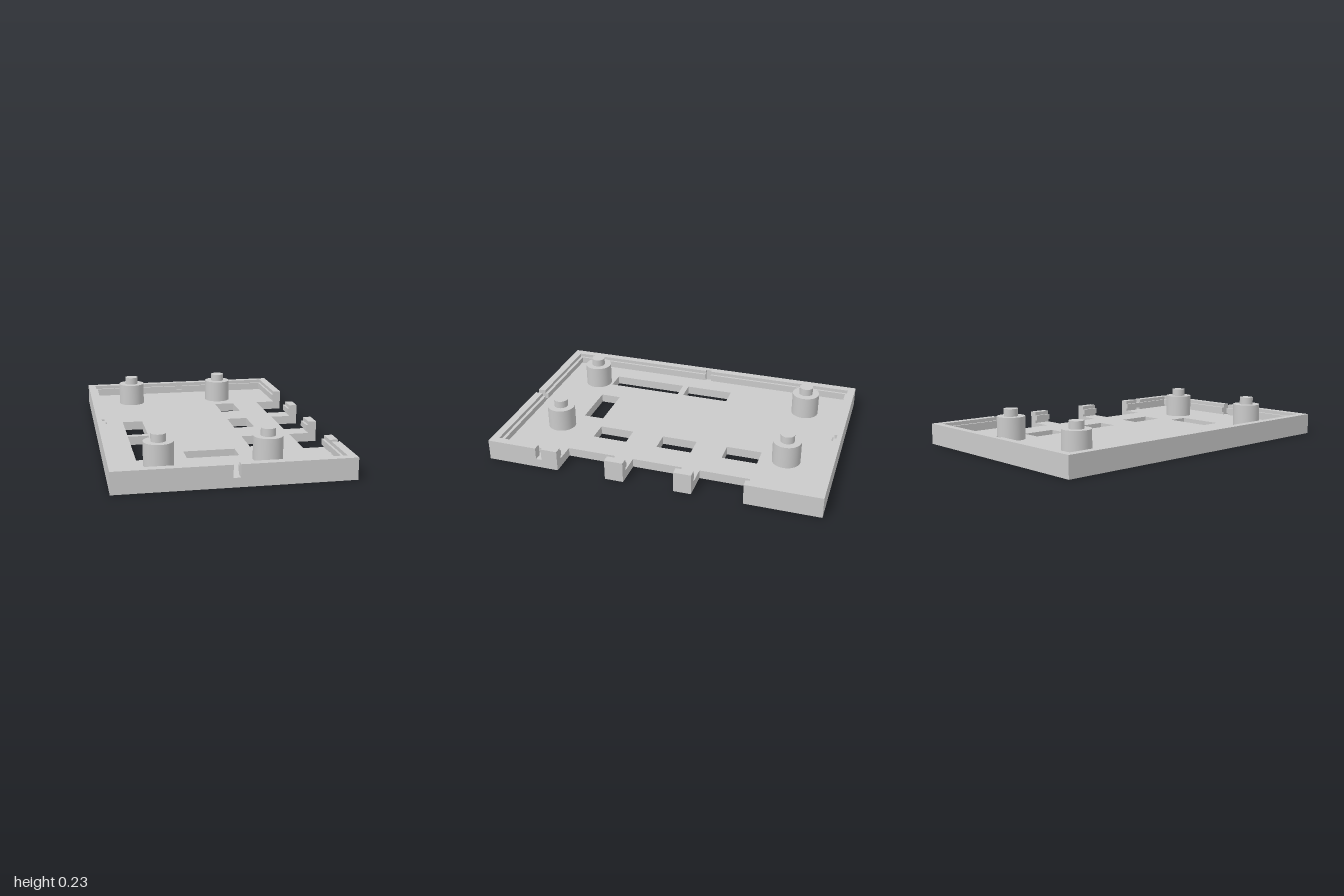
import * as THREE from 'three';

const FLOOR = 0.053, TOP = 0.125;
const rect = (x0, x1, z0, z1) => [[x0, z0], [x1, z0], [x1, z1], [x0, z1]];
const toVectors = (points) => points.map(([x, z]) => new THREE.Vector2(x, -z));

export function createModel() {
  const group = new THREE.Group();
  const grey = new THREE.MeshStandardMaterial({ color: 0xcacaca });
  grey.name = 'plain grey';

  // Extrudes an x/z outline upward from y0 to y1
  function slab(name, points, y0, y1, holes = []) {
    const outline = toVectors(points);
    // A counter-clockwise outline lets the extrusion turn the hole walls the right way
    if (THREE.ShapeUtils.isClockWise(outline)) outline.reverse();
    const shape = new THREE.Shape(outline);
    shape.holes = holes.map((h) => new THREE.Path(toVectors(h)));
    const geometry = new THREE.ExtrudeGeometry(shape, { depth: y1 - y0, bevelEnabled: false });
    geometry.rotateX(-Math.PI / 2).translate(0, y0, 0);
    const mesh = new THREE.Mesh(geometry, grey);
    mesh.name = name;
    group.add(mesh);
  }

  // Floor with three port notches in its left edge and six windows
  const notches = [[-0.558, -0.258], [-0.153, 0.15], [0.262, 0.56]];
  const outline = [[-0.66, 1], [-0.66, -1], [0.66, -1]];
  for (const [a, b] of notches) outline.push([0.66, a], [0.49, a], [0.49, b], [0.66, b]);
  outline.push([0.66, 1]);
  slab('floor', outline, 0, FLOOR, [
    rect(0.193, 0.32, -0.558, -0.345),
    rect(0.193, 0.32, -0.153, 0.062),
    rect(0.193, 0.32, 0.258, 0.47),
    rect(-0.485, -0.36, -0.193, 0.105),
    rect(-0.485, -0.36, 0.144, 0.615),
    rect(-0.203, 0.095, 0.5, 0.625),
  ]);

  // Long rim: front half, side and back, with two blind slots on the inside
  slab('mainWall', [
    [-0.02, 1], [-0.66, 1], [-0.66, -1], [0.66, -1], [0.66, -0.558], [0.612, -0.558],
    [0.612, -0.955], [0.02, -0.955], [0.02, -0.971], [-0.02, -0.971], [-0.02, -0.955],
    [-0.612, -0.955], [-0.612, -0.018], [-0.63, -0.018], [-0.63, 0.018], [-0.612, 0.018],
    [-0.612, 0.953], [-0.02, 0.953],
  ], FLOOR, TOP);
  // Raised bottom of the back slot
  slab('slotSill', rect(-0.02, 0.02, -0.971, -0.955), FLOOR, 0.074);
  // Front corner, ending at the two through slots
  slab('cornerWall', [
    [0.02, 1], [0.66, 1], [0.66, 0.695], [0.612, 0.695], [0.612, 0.953], [0.02, 0.953],
  ], FLOOR, TOP);
  // Short wall pieces between the notches
  for (const [a, b] of [[-0.258, -0.153], [0.15, 0.262], [0.56, 0.66]]) {
    slab('wallStub', rect(0.612, 0.66, a, b), FLOOR, TOP);
  }

  // Snap ridge running along the inside of the walls
  const ridges = [
    rect(-0.612, -0.598, -0.955, -0.018), rect(-0.612, -0.598, 0.018, 0.953),
    rect(-0.598, -0.02, -0.955, -0.94), rect(0.02, 0.598, -0.955, -0.94),
    rect(-0.598, -0.02, 0.934, 0.953), rect(0.02, 0.598, 0.934, 0.953),
    ...[[-0.955, -0.558], [-0.258, -0.153], [0.15, 0.262], [0.56, 0.953]]
      .map(([a, b]) => rect(0.598, 0.612, a, b)),
  ];
  for (const ridge of ridges) slab('snapRidge', ridge, 0.07, 0.104);

  // Four stepped mounting posts
  function cylinder(name, radius, y0, y1, x, z) {
    const mesh = new THREE.Mesh(new THREE.CylinderGeometry(radius, radius, y1 - y0, 48), grey);
    mesh.position.set(x, (y0 + y1) / 2, z);
    mesh.name = name;
    group.add(mesh);
  }
  for (const x of [-0.374, 0.237]) {
    for (const z of [-0.714, 0.715]) {
      cylinder('post', 0.084, FLOOR, 0.19, x, z);
      cylinder('postPin', 0.042, 0.19, 0.235, x, z);
    }
  }
  return group;
}
